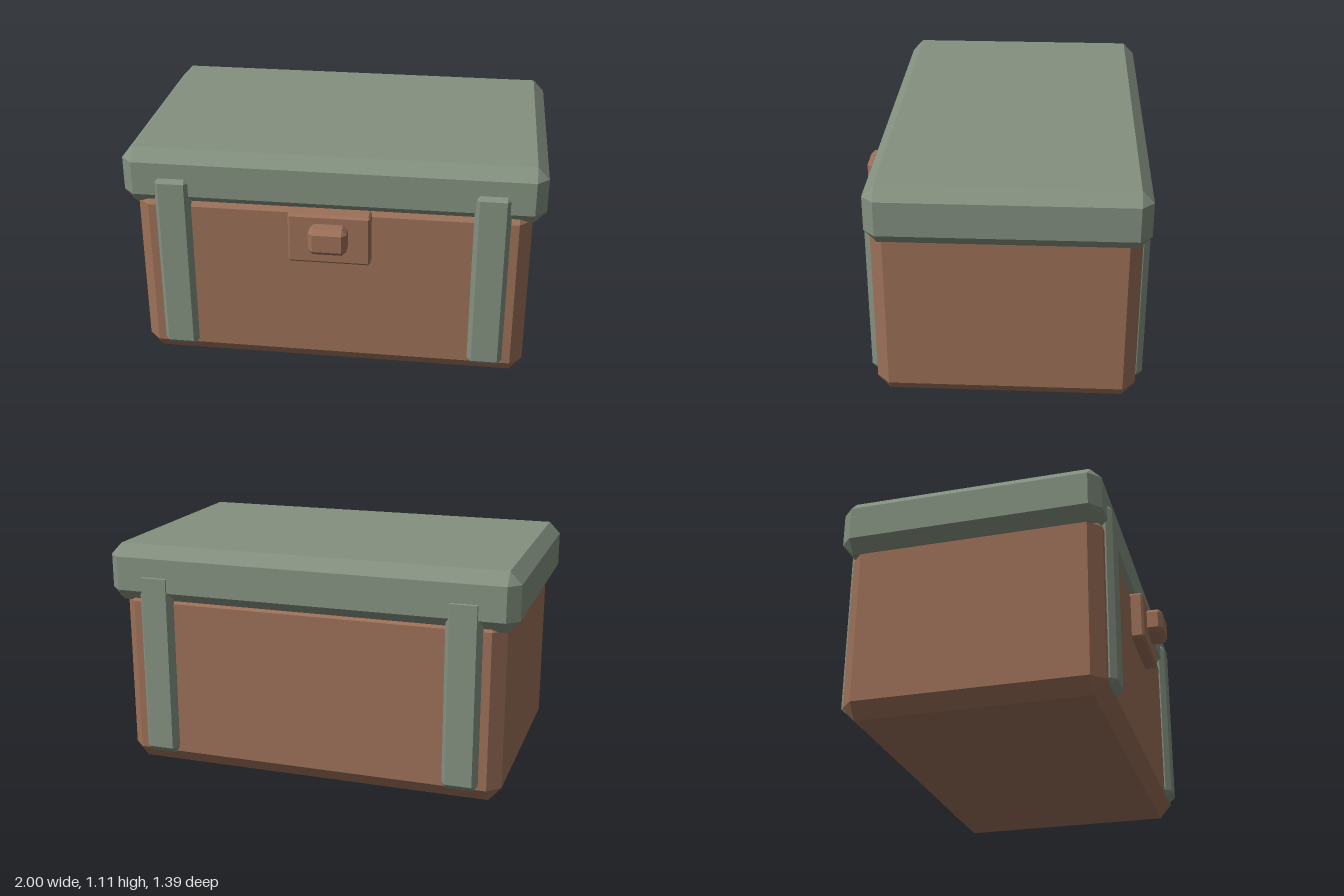
import * as THREE from 'three';
import { ConvexGeometry } from 'three/addons/geometries/ConvexGeometry.js';

const green = new THREE.MeshStandardMaterial({ name: 'sage green', color: 0x849080 });
const brown = new THREE.MeshStandardMaterial({ name: 'leather brown', color: 0x9c7058 });

// Box between two corners with every edge cut by a flat chamfer (cx, cy, cz along each axis)
function chamferBox(name, material, min, max, [cx, cy, cz]) {
  const points = [];
  const at = (axis, side, inset) => (side ? max[axis] - inset : min[axis] + inset);
  for (const i of [0, 1]) for (const j of [0, 1]) for (const k of [0, 1]) {
    points.push(
      new THREE.Vector3(at(0, i, 0), at(1, j, cy), at(2, k, cz)),
      new THREE.Vector3(at(0, i, cx), at(1, j, 0), at(2, k, cz)),
      new THREE.Vector3(at(0, i, cx), at(1, j, cy), at(2, k, 0)),
    );
  }
  const mesh = new THREE.Mesh(new ConvexGeometry(points), material);
  mesh.name = name;
  return mesh;
}

export function createModel() {
  const chest = new THREE.Group();
  chest.name = 'chest';

  // Main box and overhanging lid
  chest.add(chamferBox('body', brown, [-0.94, 0, -0.66], [0.94, 0.9, 0.555], [0.06, 0.07, 0.06]));
  chest.add(chamferBox('lid', green, [-1, 0.83, -0.692], [1, 1.11, 0.57], [0.055, 0.058, 0.055]));

  // Two straps on the front and two on the back
  for (const [side, label] of [[1, 'left'], [-1, 'right']]) {
    const x0 = side * 0.755 - 0.085;
    const x1 = side * 0.755 + 0.085;
    const cut = [0.022, 0.028, 0.028];
    chest.add(chamferBox(label + 'FrontStrap', green, [x0, 0.065, 0.49], [x1, 0.985, 0.59], cut));
    chest.add(chamferBox(label + 'BackStrap', green, [x0, 0.065, -0.596], [x1, 0.985, -0.696].map((v, i) => v), cut.map((c, i) => (i === 2 ? -c : c))));
  }

  // Latch plate with its knob
  chest.add(chamferBox('latchPlate', brown, [-0.195, 0.6, 0.5], [0.195, 0.853, 0.618], [0.01, 0.012, 0.012]));
  chest.add(chamferBox('latchKnob', brown, [-0.09, 0.68, 0.58], [0.09, 0.81, 0.696], [0.022, 0.022, 0.022]));

  return chest;
}
